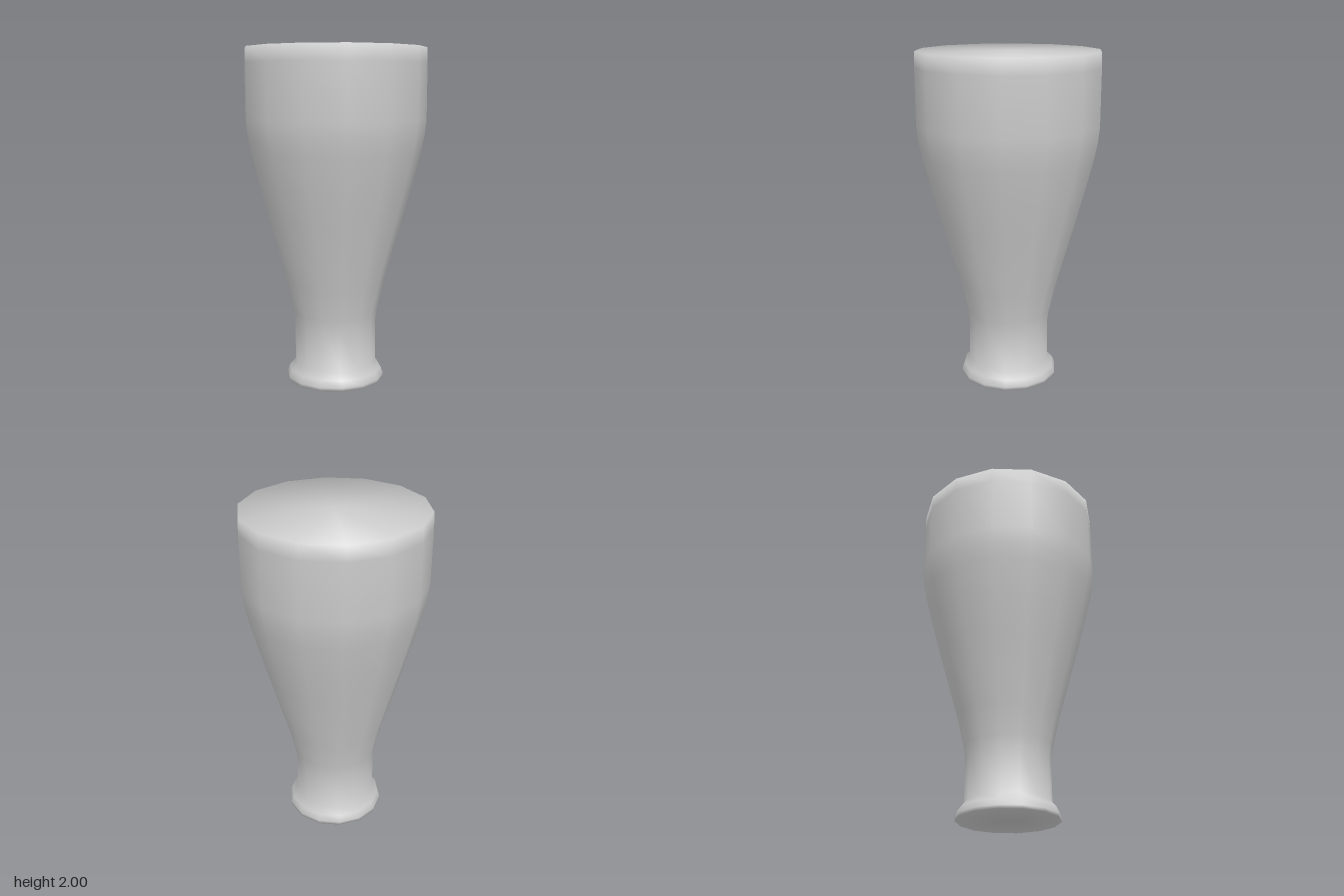
import * as THREE from 'three';

// Profile [radius, height] from the base centre to the top centre
const PROFILE = [
  [0, 0], [0.297, 0], [0.297, 0.02], [0.282, 0.06], [0.247, 0.1],
  [0.246, 0.35], [0.255, 0.42], [0.296, 0.6], [0.408, 1.0], [0.462, 1.2],
  [0.512, 1.4], [0.53, 1.49], [0.54, 1.58], [0.54, 1.91], [0.537, 2], [0, 2],
].map(([r, y]) => new THREE.Vector2(r, y));

const SIDES = 14;

// Averages the unit normals of neighbouring profile segments, so the shading
// rolls softly over the rims and the closing discs
function softNormals(geometry, profile) {
  const seg = profile.slice(1).map((p, i) => {
    const d = p.clone().sub(profile[i]).normalize();
    return new THREE.Vector2(d.y, -d.x);
  });
  const normals = profile.map((p, i) =>
    (seg[i - 1] ?? seg[i]).clone().add(seg[i] ?? seg[i - 1]).normalize());
  const pos = geometry.attributes.position;
  for (let k = 0; k < pos.count; k++) {
    const n = normals[k % profile.length];
    const angle = Math.PI / 2 + Math.floor(k / profile.length) * 2 * Math.PI / SIDES;
    geometry.attributes.normal.setXYZ(k, n.x * Math.sin(angle), n.y, n.x * Math.cos(angle));
  }
  return geometry;
}

export function createModel() {
  const group = new THREE.Group();
  group.name = 'footedGlass';

  // Closed body with foot, neck and flared bowl, corners on the x axis
  const geometry = softNormals(new THREE.LatheGeometry(PROFILE, SIDES, Math.PI / 2), PROFILE);
  const body = new THREE.Mesh(geometry, new THREE.MeshStandardMaterial({ color: 0xcccccc }));
  body.name = 'glassBody';
  group.add(body);

  return group;
}
